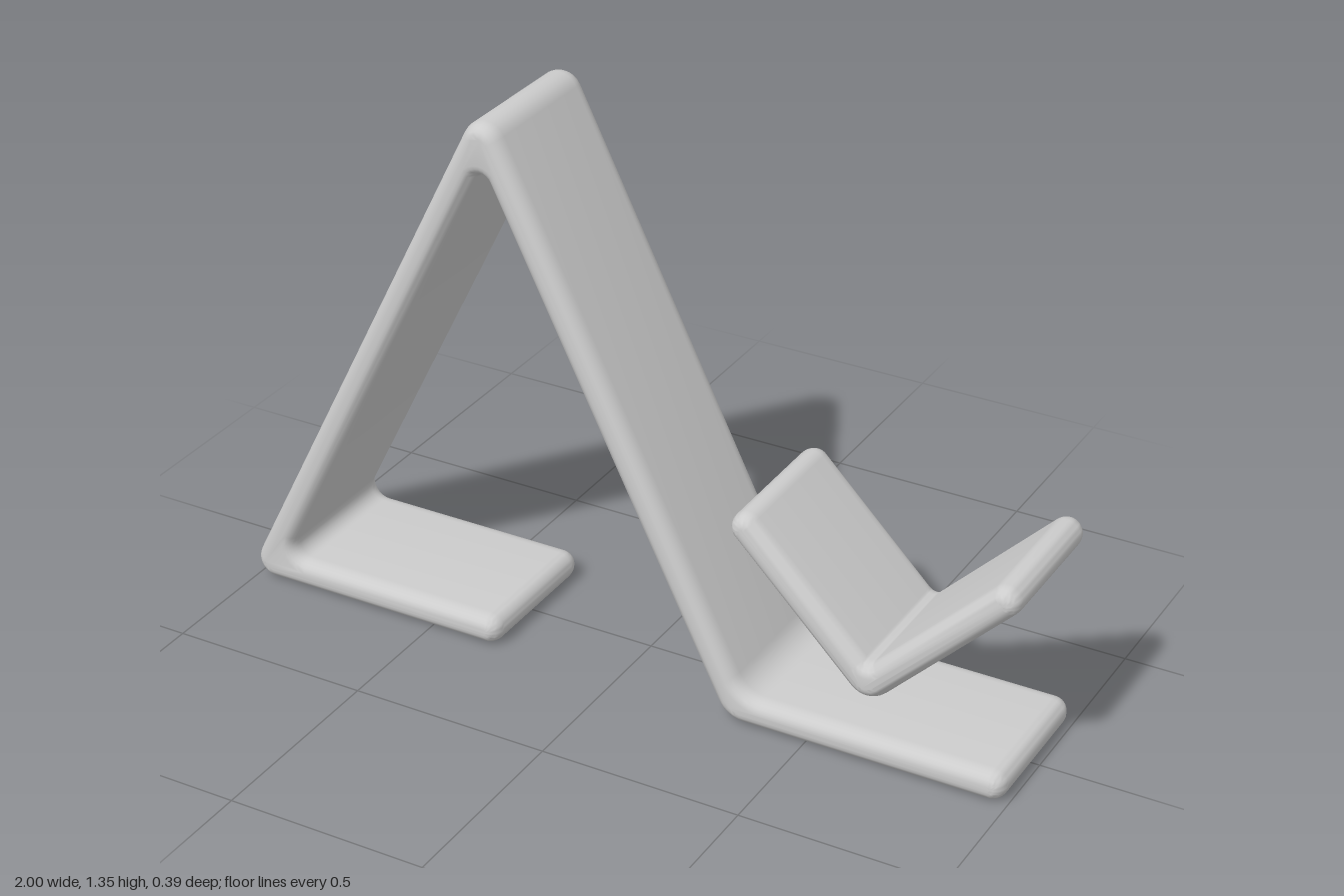
import * as THREE from 'three';
import { toCreasedNormals } from 'three/addons/utils/BufferGeometryUtils.js';

const HALF = 0.037;   // half the thickness of the strip
const WIDTH = 0.39;   // width along z
const BEVEL_Z = 0.04, BEVEL = 0.03;

// Sharp outline around a centre line; every corner carries its own fillet radius.
// Path entries: [x, y, outer radius, inner radius]
function stripOutline(path) {
  const pts = path.map(([x, y]) => new THREE.Vector2(x, y));
  const dirs = pts.slice(1).map((p, i) => p.clone().sub(pts[i]).normalize());
  const side = (s) => pts.map((p, i) => {
    const a = dirs[Math.max(i - 1, 0)], b = dirs[Math.min(i, dirs.length - 1)];
    const na = new THREE.Vector2(-a.y, a.x), nb = new THREE.Vector2(-b.y, b.x);
    const miter = na.clone().add(nb).normalize();
    const point = p.clone().addScaledVector(miter, s * HALF / miter.dot(na));
    const isEnd = i === 0 || i === pts.length - 1;
    const outer = a.cross(b) * s < 0;
    return { point, radius: isEnd ? HALF - 0.001 : outer ? path[i][2] : path[i][3] };
  });
  return [...side(-1), ...side(1).reverse()];
}

// Replace each sharp corner by an arc
function roundedShape(corners) {
  const out = [];
  const n = corners.length, steps = 8;
  corners.forEach(({ point, radius }, i) => {
    const u = corners[(i + n - 1) % n].point.clone().sub(point).normalize();
    const v = corners[(i + 1) % n].point.clone().sub(point).normalize();
    const half = Math.acos(THREE.MathUtils.clamp(u.dot(v), -1, 1)) / 2;
    const centre = point.clone().addScaledVector(u.clone().add(v).normalize(), radius / Math.sin(half));
    const start = point.clone().addScaledVector(u, radius / Math.tan(half)).sub(centre);
    const sweep = Math.sign(v.cross(u)) * (Math.PI - 2 * half);
    for (let k = 0; k <= steps; k++) {
      out.push(start.clone().rotateAround(new THREE.Vector2(), sweep * k / steps).add(centre));
    }
  });
  return new THREE.Shape(out);
}

function makeStrip(name, path, material) {
  const depth = WIDTH - 2 * BEVEL_Z;
  const geometry = new THREE.ExtrudeGeometry(roundedShape(stripOutline(path)), {
    depth, steps: 1, bevelEnabled: true, bevelThickness: BEVEL_Z,
    bevelSize: BEVEL, bevelOffset: -BEVEL, bevelSegments: 6,
  });
  geometry.translate(0, 0, -depth / 2);
  const mesh = new THREE.Mesh(toCreasedNormals(geometry, 0.6), material);
  mesh.name = name;
  return mesh;
}

export function createModel() {
  const grey = new THREE.MeshStandardMaterial({ color: 0xcccccc });
  grey.name = 'light grey';
  const group = new THREE.Group();
  group.name = 'bentStripStand';

  // Folded band: left foot, rising leg, apex, falling leg, right foot
  group.add(makeStrip('foldedStand', [
    [-0.31, 0.042],
    [-0.9725, 0.042, 0.05, 0.035],
    [-0.327, 1.335, 0.052, 0.02],
    [0.3185, 0.042, 0.08, 0.08],
    [0.992, 0.042],
  ], grey));

  // Separate V-shaped cradle above the right foot
  group.add(makeStrip('vCradle', [
    [0.311, 0.544],
    [0.65, 0.204, 0.06, 0.02],
    [0.989, 0.544],
  ], grey));

  return group;
}
